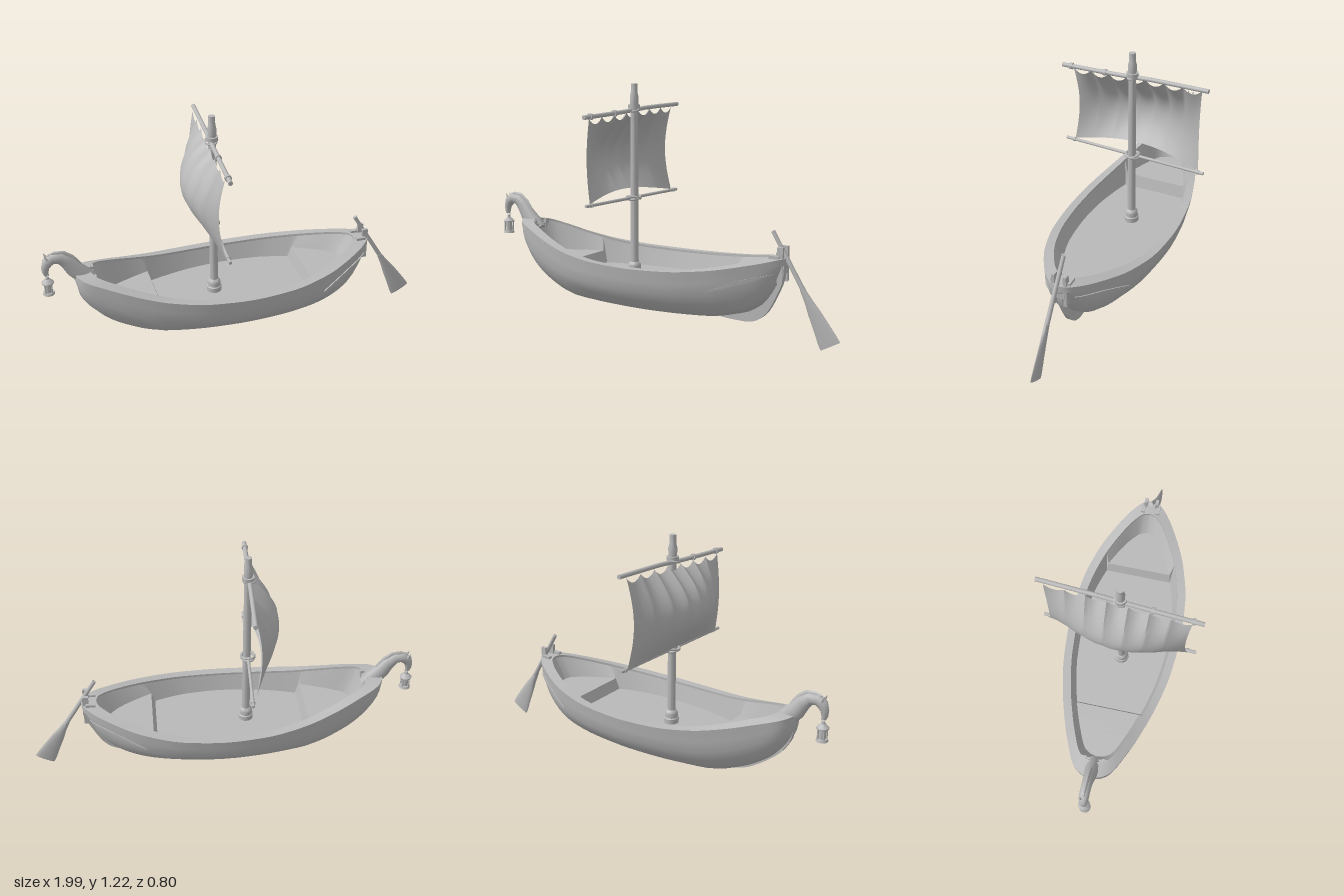
import * as THREE from 'three';
import { toCreasedNormals } from 'three/addons/utils/BufferGeometryUtils.js';

const V = (x, y, z) => new THREE.Vector3(x, y, z);
const grey = new THREE.MeshStandardMaterial({ color: 0xb8b8b8, side: THREE.DoubleSide });
grey.name = 'plain grey';

// Smooth monotone interpolation through [x, y] points
function curve(pts) {
  const sl = i => (pts[i + 1][1] - pts[i][1]) / (pts[i + 1][0] - pts[i][0]);
  const tan = pts.map((p, i) => {
    if (i === 0) return sl(0);
    if (i === pts.length - 1) return sl(i - 1);
    const a = sl(i - 1), b = sl(i);
    return a * b > 0 ? 2 * a * b / (a + b) : 0;
  });
  return x => {
    let i = 0;
    while (i < pts.length - 2 && x > pts[i + 1][0]) i++;
    const d = pts[i + 1][0] - pts[i][0];
    const t = THREE.MathUtils.clamp((x - pts[i][0]) / d, 0, 1), t2 = t * t, t3 = t2 * t;
    return (2 * t3 - 3 * t2 + 1) * pts[i][1] + (t3 - 2 * t2 + t) * d * tan[i]
      + (3 * t2 - 2 * t3) * pts[i + 1][1] + (t3 - t2) * d * tan[i + 1];
  };
}

// Skin over rows of points
function skin(rows, crease = 0.7) {
  const n = rows[0].length, idx = [];
  for (let i = 0; i < rows.length - 1; i++)
    for (let j = 0; j < n - 1; j++) {
      const a = i * n + j, b = a + n;
      idx.push(a, b, a + 1, b, b + 1, a + 1);
    }
  const g = new THREE.BufferGeometry().setFromPoints(rows.flat());
  g.setIndex(idx);
  return toCreasedNormals(g, crease);
}

// Oval sections [x, y, radius in plane, radius in z] along a path at depth z
function limb(pts, z = 0, sides = 14) {
  const rows = pts.map(([x, y, r, rz], i) => {
    const a = pts[Math.max(i - 1, 0)], b = pts[Math.min(i + 1, pts.length - 1)];
    const l = Math.hypot(b[0] - a[0], b[1] - a[1]);
    const nx = -(b[1] - a[1]) / l, ny = (b[0] - a[0]) / l;
    return Array.from({ length: sides + 1 }, (_, k) => {
      const t = k / sides * Math.PI * 2, c = Math.cos(t) * r;
      return V(x + nx * c, y + ny * c, z + Math.sin(t) * rz);
    });
  });
  const cap = p => Array.from({ length: sides + 1 }, () => V(p[0], p[1], z));
  return skin([cap(pts[0]), ...rows, cap(pts[pts.length - 1])], 0.9);
}

// Hull lines: half width, sheer height, keel height, section shape
const width = curve([[-.84, 0], [-.835, .035], [-.8, .09], [-.7, .142], [-.6, .183], [-.4, .246], [-.2, .285],
  [0, .298], [.2, .285], [.4, .235], [.6, .135], [.69, .065], [.715, .03], [.72, 0]]);
const sheer = curve([[-.84, .47], [-.7, .43], [-.55, .387], [-.4, .355], [-.2, .335], [0, .33], [.2, .335], [.4, .352], [.6, .385], [.72, .41]]);
const keel = curve([[-.84, .43], [-.82, .35], [-.78, .285], [-.7, .2], [-.6, .145], [-.5, .108], [-.4, .09],
  [0, .082], [.35, .09], [.5, .115], [.6, .17], [.66, .25], [.7, .34], [.72, .37]]);
const section = [[0, 0], [.06, .48], [.15, .63], [.33, .8], [.53, .91], [.75, .935], [.93, .955]];
const sectionWidth = curve(section);
const hullZ = (x, y) => width(x) * sectionWidth((y - keel(x)) / (sheer(x) - keel(x)));

export function createModel() {
  const model = new THREE.Group();
  model.name = 'sailingBoat';
  const add = (name, geo, x = 0, y = 0, z = 0, parent = model) => {
    const m = new THREE.Mesh(geo, grey);
    m.name = name;
    m.position.set(x, y, z);
    parent.add(m);
    return m;
  };
  const rod = (name, a, b, r1, r2 = r1) => {
    const m = add(name, new THREE.CylinderGeometry(r2, r1, a.distanceTo(b), 14));
    m.position.copy(a).add(b).multiplyScalar(0.5);
    m.quaternion.setFromUnitVectors(V(0, 1, 0), b.clone().sub(a).normalize());
    return m;
  };
  const box = (name, w, h, d, x, y, z) => add(name, new THREE.BoxGeometry(w, h, d), x, y, z);

  // Hull stations, with extra ones where the deck steps
  const stations = [-.535, -.503, .428, .477];
  for (let i = 0; i <= 44; i++) stations.push(-.06 - .78 * Math.cos(i / 44 * Math.PI));
  stations.sort((a, b) => a - b);
  const inset = (x, k) => -.06 + (x + .06) * k;
  const deckY = x => x < -.52 ? .295 : x > .45 ? .29 : .23;

  add('hull', skin(stations.map(x => {
    const side = s => section.map(([f, g]) => V(x, keel(x) + (sheer(x) - keel(x)) * f, s * width(x) * g));
    return [...side(-1).reverse(), ...side(1).slice(1)];
  }), 0.8));
  for (const s of [1, -1]) {
    add('gunwale', skin(stations.map(x => {
      const w = width(x) * s, y = sheer(x);
      return [V(inset(x, .9), y - .012, w * .86), V(inset(x, .9), y, w * .86), V(x, y, w),
        V(x, y - .033, w * .985), V(x, y - .033, w * .92)];
    })));
    add('innerWall', skin(stations.map(x => [
      V(inset(x, .9), sheer(x) - .012, width(x) * .875 * s),
      V(inset(x, .82), deckY(x), width(x) * .79 * s)])));
    // Tapered strake on the stern quarter
    const strake = [];
    for (let i = 0; i <= 16; i++) {
      const t = i / 16, x = .4 + .28 * t, h = .001 + .009 * Math.sin(Math.PI * t);
      const y = .247 + .09 * Math.pow(t, .85);
      strake.push([[h, -.01], [h, .007], [-h, .007], [-h, -.01]].map(([d, o]) => V(x, y + d, s * (hullZ(x, y + d) + o))));
    }
    add('sternStrake', skin(strake));
  }
  add('deck', skin(stations.map(x => [1, -1].map(s =>
    V(inset(x, .82), deckY(x), s * width(x) * .79))), 0.3));

  // Keel plate with stem and skeg
  const plate = new THREE.Shape();
  plate.moveTo(-.835, .46);
  plate.splineThru([[-.825, .36], [-.8, .3], [-.74, .225], [-.6, .125], [-.47, .086], [-.35, .076], [0, .076], [.3, .085],
    [.45, .076], [.55, .081], [.62, .13], [.675, .23], [.705, .31], [.712, .4]].map(p => new THREE.Vector2(...p)));
  for (const p of [[.66, .38], [.6, .22], [.4, .13], [-.4, .13], [-.6, .19], [-.78, .38]]) plate.lineTo(...p);
  add('keel', new THREE.ExtrudeGeometry(plate, { depth: .026, bevelEnabled: false, curveSegments: 40 }), 0, 0, -.013);

  // Horse figurehead
  add('figurehead', limb([[-.75, .41, .035, .035], [-.79, .445, .045, .036], [-.835, .49, .043, .031], [-.865, .535, .037, .027],
    [-.9, .565, .03, .025], [-.937, .568, .028, .025], [-.962, .55, .027, .024], [-.974, .522, .02, .018],
    [-.975, .498, .016, .015], [-.973, .482, .011, .011]]));
  add('mane', limb([[-.79, .478, .012, .01], [-.82, .52, .018, .009], [-.845, .558, .016, .009], [-.88, .588, .014, .008],
    [-.925, .594, .012, .007], [-.955, .588, .006, .005]], 0, 8));
  for (const s of [1, -1]) {
    const ear = add('ear', new THREE.ConeGeometry(.009, .034, 8), -.968, .583, s * .014);
    ear.rotation.z = .5;
    box('bowBlock', .055, .05, .032, -.765, .437, s * .052);
  }
  box('breasthook', .07, .03, .1, -.775, .43, 0);

  // Hanging lantern
  const lantern = new THREE.Group();
  lantern.name = 'lantern';
  lantern.position.set(-.97, .372, 0);
  model.add(lantern);
  const roof = [[0, .1], [.008, .098], [.01, .086], [.018, .08], [.03, .068], [.03, .062], [0, .062]];
  add('lanternRoof', toCreasedNormals(new THREE.LatheGeometry(roof.map(p => new THREE.Vector2(...p)).reverse(), 12), .6), 0, 0, 0, lantern);
  add('lanternBase', new THREE.CylinderGeometry(.026, .03, .012, 12), 0, .006, 0, lantern);
  add('lanternGlass', new THREE.CylinderGeometry(.017, .017, .054, 12), 0, .037, 0, lantern);
  for (let i = 0; i < 4; i++) {
    const a = (i + .5) * Math.PI / 2;
    add('lanternPost', new THREE.CylinderGeometry(.004, .004, .054, 6), .022 * Math.cos(a), .037, .022 * Math.sin(a), lantern);
  }
  add('lanternRing', new THREE.TorusGeometry(.009, .0025, 6, 14), 0, .107, 0, lantern);

  // Mast with foot and collars
  const mast = [[0, .22], [.038, .22], [.038, .255], [.033, .26], [.033, .285], [.027, .295], [.021, .3], [.019, 1.085],
    [.03, 1.085], [.03, 1.105], [.021, 1.105], [.022, 1.145], [.017, 1.165], [.016, 1.21], [0, 1.21]];
  add('mast', toCreasedNormals(new THREE.LatheGeometry(mast.map(p => new THREE.Vector2(...p)), 20), .6), -.13, 0, .005);

  // Yard and boom with lashings
  const sparX = z => -.136 - z * .055;
  const yardY = curve([[-.395, 1.094], [-.1, 1.085], [.1, 1.07], [.4, 1.056]]);
  const yardZ = [.4, .22, .08, -.1, -.22, -.395];
  for (let i = 0; i < 5; i++) {
    const [a, b] = [yardZ[i], yardZ[i + 1]].map(z => V(sparX(z), yardY(z), z));
    rod('yard', a, b, .011);
  }
  for (const z of [.35, .16]) rod('yardBand', V(sparX(z), yardY(z), z + .008), V(sparX(z), yardY(z), z - .008), .016);
  rod('boom', V(sparX(.39), .632, .39), V(sparX(-.39), .632, -.39), .008);
  for (const z of [.345, -.36]) rod('boomBand', V(sparX(z), .632, z + .006), V(sparX(z), .632, z - .006), .011);
  for (const t of [.25, -.25]) {
    const ring = add('boomLashing', new THREE.TorusGeometry(.034, .006, 8, 20), -.135, .632, .003);
    ring.rotation.set(Math.PI / 2 + t, 0, 0);
  }
  const lash = add('yardLashing', new THREE.TorusGeometry(.027, .005, 8, 20), -.135, yardY(0), .003);
  lash.rotation.x = Math.PI / 2 + .3;

  // Billowing sail with a scalloped head
  const sail = [];
  for (let i = 0; i <= 84; i++) {
    const u = i / 84, belly = Math.sin(Math.PI * u), row = [];
    for (let j = 0; j <= 20; j++) {
      const v = j / 20, puff = Math.sin(Math.PI * v);
      const z = .345 - .702 * u + (u - .5) * .03 * puff;
      const top = yardY(z) - .01 - .03 * Math.pow(Math.abs(Math.sin(Math.PI * 7 * u)), .8);
      const foot = .635 + .037 * belly;
      row.push(V(sparX(z) - .012 - puff * (.028 + .082 * belly) - .05 * belly * (1 - v), foot + (top - foot) * v, z));
    }
    sail.push(row);
  }
  add('sail', skin(sail, 1));

  // Steering oar and its bracket at the stern
  rod('oarShaft', V(.643, .53, .004), V(.815, .25, .012), .01, .012);
  add('oarBlade', limb([[.8, .272, .012, .012], [.83, .222, .02, .012], [.86, .17, .032, .011], [.9, .1, .043, .01],
    [.93, .045, .052, .009], [.945, .018, .054, .008]], .013));
  for (const s of [1, -1]) {
    box('oarPost', .03, .17, .016, .695, .375, s * .03);
    box('sternBlock', .05, .03, .022, .67, .405, s * .04);
  }
  box('oarBracket', .026, .05, .06, .7, .36, 0);
  return model;
}
